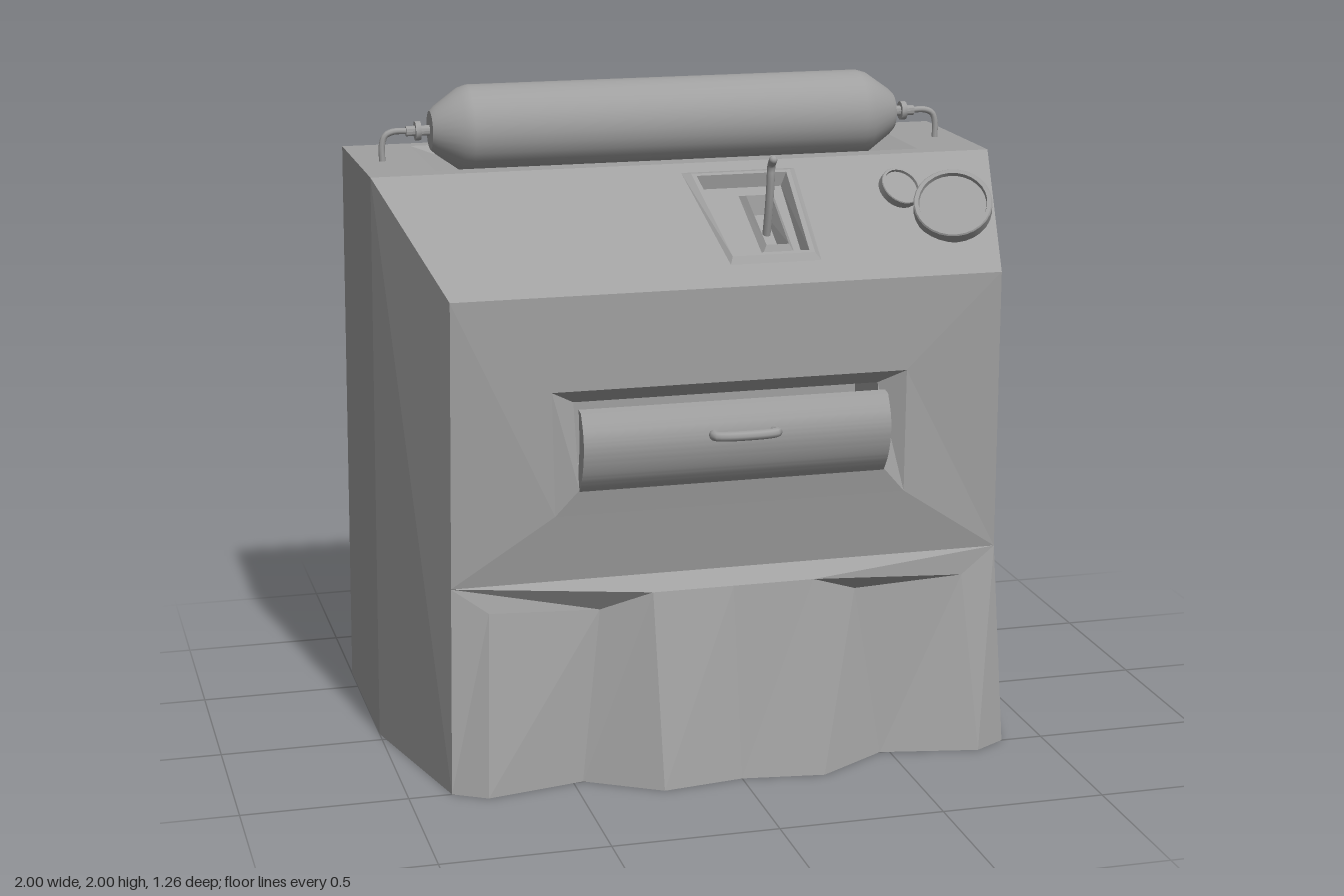
import * as THREE from 'three';
import { toCreasedNormals } from 'three/addons/utils/BufferGeometryUtils.js';

const metal = new THREE.MeshStandardMaterial({ color: 0xa0a0a0 });
metal.name = 'grey metal';
const sheet = metal; // one colour throughout

const V = (x, y, z) => [x, y, z];
const mirror = (face) => face.map(([x, y, z]) => [-x, y, z]).reverse();

// Flat-shaded geometry from convex polygons, each drawn as a fan
function polys(faces) {
  const pos = [];
  for (const f of faces)
    for (let i = 1; i < f.length - 1; i++) pos.push(...f[0], ...f[i], ...f[i + 1]);
  const g = new THREE.BufferGeometry();
  g.setAttribute('position', new THREE.Float32BufferAttribute(pos, 3));
  g.computeVertexNormals();
  return g;
}

// Quads joining two loops of equal length, outer first
const ring = (a, b) => a.map((p, i) => {
  const j = (i + 1) % a.length;
  return [p, a[j], b[j], b[i]];
});

function add(parent, name, geometry) {
  const m = new THREE.Mesh(geometry, sheet);
  m.name = name;
  parent.add(m);
  return m;
}

function lathe(points, sides) {
  const g = new THREE.LatheGeometry(points.map(([r, y]) => new THREE.Vector2(r, y)), sides);
  return toCreasedNormals(g, 0.55);
}

function tube(points, radius, segments = 16) {
  const c = new THREE.CatmullRomCurve3(points.map((p) => new THREE.Vector3(...p)), false, 'centripetal');
  return new THREE.TubeGeometry(c, segments, radius, 8);
}

// Point on the sloped control panel: t runs downhill, h is height above it
const S = (x, t, h = 0) => V(x, 1.77 - 0.28 * t + 0.88 * h, -0.05 + 0.52 * t + 0.47 * h);
const panelLoop = (x0, x1, x2, x3, t0, t1, h) => [S(x0, t0, h), S(x1, t1, h), S(x2, t1, h), S(x3, t0, h)];

function buildCabinet(root) {
  const side = [V(1, 0, -0.63), V(0.98, 1.77, -0.63), V(0.98, 1.77, -0.05), V(1, 0, -0.05)];
  const cheek = [V(1, 0, -0.05), V(0.98, 1.77, -0.05), V(0.84, 1.49, 0.47), V(0.85, 0.62, 0.44), V(0.87, 0, 0.5)];
  const back = [V(1, 0, -0.63), V(-1, 0, -0.63), V(-0.98, 1.77, -0.63), V(0.98, 1.77, -0.63)];
  add(root, 'cabinetShell', polys([side, mirror(side), cheek, mirror(cheek), back]));

  // Top with the sunken cradle under the tank
  const rect = (x, y, z0, z1) => [V(-x, y, z0), V(-x, y, z1), V(x, y, z1), V(x, y, z0)];
  const rim = rect(0.77, 1.77, -0.58, -0.12), floor = rect(0.49, 1.67, -0.49, -0.19);
  add(root, 'cabinetTop', polys(ring(rect(0.98, 1.77, -0.63, -0.05), rim)));
  add(root, 'tankCradle', polys([...ring(rim, floor), floor]));

  // Sloped panel with the lever housing
  const slope = [S(-0.98, 0), S(-0.84, 1), S(0.84, 1), S(0.98, 0)];
  const hole = panelLoop(-0.03, 0.02, 0.30, 0.33, 0.08, 0.83, 0);
  const lip = panelLoop(-0.005, 0.03, 0.285, 0.31, 0.115, 0.79, 0.012);
  const lipIn = panelLoop(0.01, 0.045, 0.27, 0.295, 0.135, 0.77, 0.012);
  const tray = panelLoop(0.03, 0.055, 0.26, 0.28, 0.16, 0.75, -0.03);
  const slot = panelLoop(0.135, 0.14, 0.24, 0.245, 0.23, 0.71, -0.03);
  const collar = panelLoop(0.15, 0.155, 0.225, 0.23, 0.27, 0.67, -0.01);
  const pit = panelLoop(0.17, 0.17, 0.21, 0.21, 0.33, 0.61, -0.06);
  add(root, 'controlPanel', polys(ring(slope, hole)));
  add(root, 'leverHousing', polys([
    ...ring(hole, lip), ...ring(lip, lipIn), ...ring(lipIn, tray), ...ring(tray, slot),
    ...ring(slot, collar), ...ring(collar, pit), pit]));

  // Front face, bevelled mouth and the chamber behind it
  const front = [V(-0.84, 1.49, 0.47), V(-0.85, 0.62, 0.44), V(0.85, 0.62, 0.44), V(0.84, 1.49, 0.47)];
  const mouth = [V(-0.545, 1.205, 0.47), V(-0.54, 0.83, 0.475), V(0.54, 0.83, 0.475), V(0.545, 1.205, 0.47)];
  const throat = [V(-0.47, 1.16, 0.42), V(-0.47, 0.91, 0.49), V(0.47, 0.91, 0.49), V(0.47, 1.16, 0.42)];
  const deep = [V(-0.47, 1.16, 0.2), V(-0.47, 0.91, 0.2), V(0.47, 0.91, 0.2), V(0.47, 1.16, 0.2)];
  add(root, 'frontPanel', polys(ring(front, mouth)));
  add(root, 'hatchSurround', polys(ring(mouth, throat)));
  add(root, 'hatchChamber', polys([...ring(throat, deep), deep]));

  // Pleated skirt: upper and lower edges from the middle out to +x
  const up = [V(0, 0.58, 0.5), V(0.25, 0.58, 0.5), V(0.4, 0.52, 0.44), V(0.74, 0.54, 0.455), V(0.85, 0.62, 0.44)];
  const low = [V(0, 0, 0.6), V(0.25, 0, 0.635), V(0.47, 0, 0.5), V(0.77, 0, 0.56), V(0.87, 0, 0.5)];
  const skirt = [];
  for (let i = 0; i < 4; i++) skirt.push([low[i], low[i + 1], up[i + 1], up[i]]);
  skirt.push([up[1], up[2], up[3], up[4]]); // undercut below the ledge
  skirt.push([V(0, 0.62, 0.44), up[0], up[1], up[4]]); // ledge
  add(root, 'skirt', polys([...skirt, ...skirt.map(mirror)]));

  const right = [...low, V(1, 0, -0.05), V(1, 0, -0.63), V(0, 0, -0.63)].reverse();
  add(root, 'base', polys([right, mirror(right).slice(-1).concat(mirror(right).slice(0, -1))]));
}

function buildHatch(root) {
  // Curved door, extruded along x from a (z, y) section
  const section = new THREE.Shape();
  section.moveTo(0.485, 0.9);
  section.splineThru([[0.53, 0.96], [0.553, 1.03], [0.55, 1.09], [0.52, 1.15]].map((p) => new THREE.Vector2(...p)));
  section.lineTo(0.49, 1.155);
  section.lineTo(0.5, 1.05);
  section.lineTo(0.465, 0.91);
  section.closePath();
  const g = new THREE.ExtrudeGeometry(section, { depth: 0.94, bevelEnabled: false, curveSegments: 8 });
  g.rotateY(-Math.PI / 2); // section x becomes z, depth runs towards -x
  g.translate(0.47, 0, 0);
  add(root, 'hatchDoor', toCreasedNormals(g, 0.5));

  add(root, 'hatchHandle', tube([
    V(-0.075, 1.07, 0.54), V(-0.08, 1.07, 0.575), V(-0.05, 1.07, 0.588),
    V(0.08, 1.07, 0.588), V(0.11, 1.07, 0.575), V(0.105, 1.07, 0.54)], 0.015, 24));
}

function buildTank(root) {
  const tank = new THREE.Group();
  tank.name = 'tank';
  tank.position.set(0, 1.86, -0.325);
  const end = [[0.137, 0.63], [0.128, 0.66], [0.075, 0.735], [0.06, 0.75], [0, 0.752]];
  const outline = [...end.map(([r, y]) => [r, -y]).reverse(), ...end];
  add(tank, 'tankBody', lathe(outline, 28)).rotation.z = -Math.PI / 2;

  for (const s of [-1, 1]) {
    const valve = add(tank, 'tankValve', lathe([
      [0.016, 0.745], [0.016, 0.78], [0.03, 0.78], [0.03, 0.797], [0.016, 0.797], [0.016, 0.825], [0, 0.825]], 12));
    valve.rotation.z = -s * Math.PI / 2;
    add(tank, 'tankPipe', tube([
      V(s * 0.81, 0, 0), V(s * 0.865, 0, 0), V(s * 0.89, -0.012, 0), V(s * 0.9, -0.04, 0), V(s * 0.9, -0.1, 0)], 0.01));
  }
  root.add(tank);
}

function buildGauge(root, name, centre, radius, depth, normal) {
  const gauge = new THREE.Group();
  gauge.name = name;
  gauge.position.set(...centre);
  gauge.quaternion.setFromUnitVectors(new THREE.Vector3(0, 1, 0), new THREE.Vector3(...normal).normalize());
  const r = radius, d = depth;
  // Stem, back, rim and sunken dial in one outline
  add(gauge, 'dial', lathe([
    [r * 0.22, -d * 3], [r * 0.22, -d], [r * 0.7, -d * 0.8], [r, -d * 0.4], [r, d * 0.4],
    [r * 0.97, d * 0.5], [r * 0.87, d * 0.5], [r * 0.85, d * 0.2], [0, d * 0.2]], 28));
  root.add(gauge);
}

export function createModel() {
  const root = new THREE.Group();
  root.name = 'cabinetMachine';
  buildCabinet(root);
  buildHatch(root);
  buildTank(root);

  // Lever with a hooked tip
  add(root, 'lever', tube([
    V(0.19, 1.57, 0.17), V(0.19, 1.68, 0.2), V(0.19, 1.76, 0.215), V(0.19, 1.8, 0.22), V(0.19, 1.82, 0.24)], 0.013));
  add(root, 'leverTip', new THREE.SphereGeometry(0.013, 10, 8)).position.set(0.19, 1.82, 0.24);

  buildGauge(root, 'largeGauge', V(0.75, 1.66, 0.275), 0.12, 0.045, V(-0.25, 0.68, 0.69));
  buildGauge(root, 'smallGauge', V(0.62, 1.7, 0.155), 0.066, 0.03, V(0.2, 0.68, 0.69));
  return root;
}
